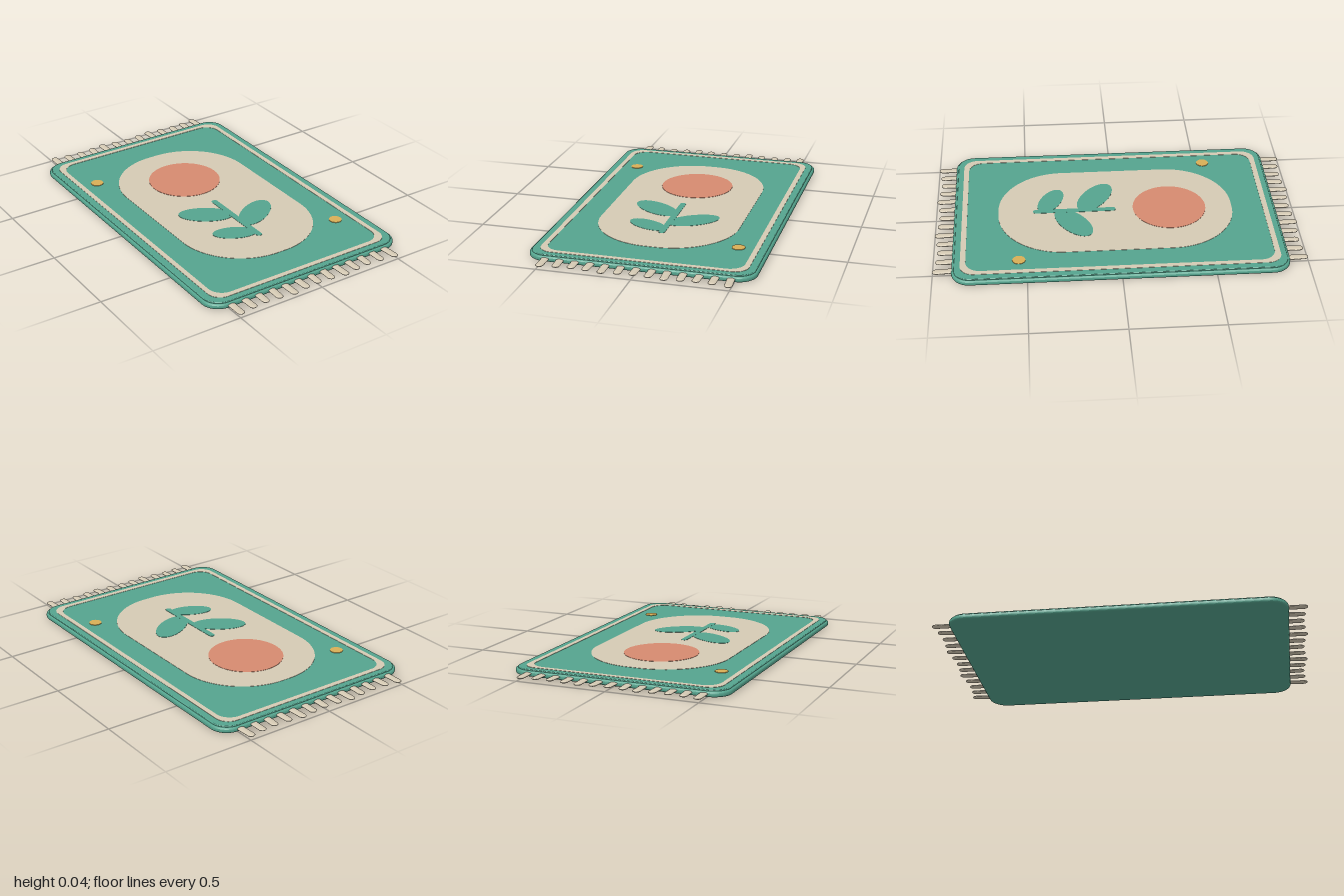
import * as THREE from 'three';

const material = (name, color) => new THREE.MeshStandardMaterial({ name, color });

// Rounded rectangle path, centred on the origin
function roundedRect(hx, hy, r, Type = THREE.Shape) {
  const p = new Type();
  p.absarc(hx - r, hy - r, r, 0, Math.PI / 2);
  p.absarc(-hx + r, hy - r, r, Math.PI / 2, Math.PI);
  p.absarc(-hx + r, -hy + r, r, Math.PI, Math.PI * 1.5);
  p.absarc(hx - r, -hy + r, r, Math.PI * 1.5, Math.PI * 2);
  p.closePath();
  return p;
}

// Ellipse at (x, z); a positive tilt lifts its right end towards the back
function ellipse(x, z, a, b, tilt = 0) {
  return new THREE.Shape().absellipse(x, -z, a, b, 0, Math.PI * 2, false, tilt);
}

export function createModel() {
  const green = material('green wool', 0x55a48e);
  const cream = material('cream wool', 0xd5cab4);
  const coral = material('coral wool', 0xd68a70);
  const gold = material('gold wool', 0xd8ae56);

  const rug = new THREE.Group();
  rug.name = 'rug';

  const add = (name, geometry, mat, parent = rug) => {
    const mesh = new THREE.Mesh(geometry, mat);
    mesh.name = name;
    parent.add(mesh);
    return mesh;
  };

  // Lays an extruded outline flat between two heights
  const slab = (name, shape, y0, y1, mat, bevel = 0) => {
    const geometry = new THREE.ExtrudeGeometry(shape, {
      depth: y1 - y0 - 2 * bevel, curveSegments: 24,
      bevelEnabled: bevel > 0, bevelSize: bevel, bevelThickness: bevel,
      bevelOffset: -bevel, bevelSegments: 4,
    });
    geometry.rotateX(-Math.PI / 2).translate(0, y0 + bevel, 0);
    return add(name, geometry, mat);
  };

  // Woven body: rounded base and slightly smaller raised pile
  slab('base', roundedRect(0.6, 0.9, 0.1), 0, 0.03, green, 0.012);
  slab('pile', roundedRect(0.588, 0.888, 0.09), 0.02, 0.037, green, 0.005);

  // Border stripe and centre panel
  const border = roundedRect(0.55, 0.855, 0.075);
  border.holes.push(roundedRect(0.522, 0.826, 0.08, THREE.Path));
  slab('borderStripe', border, 0.035, 0.0385, cream);
  slab('centrePanel', roundedRect(0.386, 0.653, 0.36), 0.035, 0.0385, cream);

  // Sun and corner dots
  slab('sun', ellipse(0, -0.302, 0.204, 0.204), 0.036, 0.04, coral);
  for (const s of [-1, 1]) {
    slab('cornerDot', ellipse(0.44 * s, 0.543 * s, 0.035, 0.035), 0.036, 0.04, gold);
  }

  // Sprig with three leaves
  const stem = roundedRect(0.017, 0.231, 0.016);
  slab('stem', stem, 0.036, 0.04, green).position.z = 0.229;
  slab('upperLeaf', ellipse(-0.123, 0.11, 0.15, 0.075, -0.58), 0.036, 0.0398, green);
  slab('rightLeaf', ellipse(0.118, 0.238, 0.15, 0.075, 0.58), 0.036, 0.0398, green);
  slab('lowerLeaf', ellipse(-0.1, 0.36, 0.12, 0.06, -0.44), 0.036, 0.0398, green);

  // Flattened tassels along both short ends
  const reach = [1, 0.988, 0.982, 0.988];
  for (const s of [-1, 1]) {
    const fringe = new THREE.Group();
    fringe.name = s > 0 ? 'frontFringe' : 'backFringe';
    rug.add(fringe);
    for (let i = 0; i < 13; i++) {
      const inner = 0.86, outer = reach[i % 4], r = 0.021;
      const geometry = new THREE.CapsuleGeometry(r, outer - inner - 2 * r, 5, 12);
      geometry.rotateX(Math.PI / 2).scale(1, 0.34, 1);
      const tassel = add('tassel', geometry, cream, fringe);
      tassel.position.set((i - 6) * 0.081, 0.017, s * (inner + outer) / 2);
      tassel.rotation.y = 0.05 * Math.sin(i * 1.7);
    }
  }
  return rug;
}
